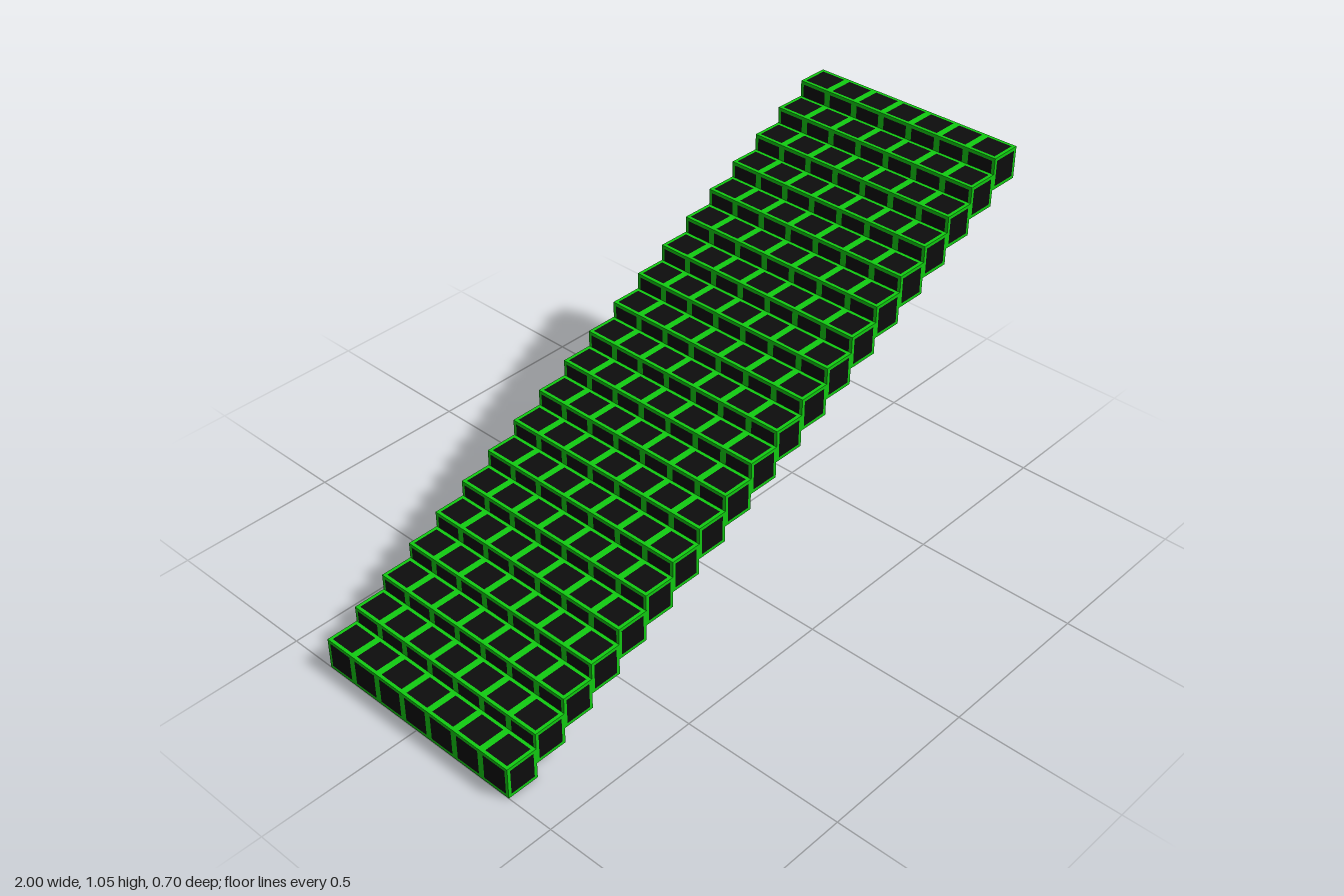
import * as THREE from 'three';
import { mergeGeometries } from 'three/addons/utils/BufferGeometryUtils.js';

const STEPS = 20, ROWS = 7, SIZE = 0.1, RISE = 0.05, EDGE = 0.01;
const H = SIZE / 2;

// Square centred on the origin, as a shape or as a hole
function square(target, h) {
  target.moveTo(-h, -h);
  target.lineTo(h, -h);
  target.lineTo(h, h);
  target.lineTo(-h, h);
  target.closePath();
  return target;
}

export function createModel() {
  const group = new THREE.Group();
  group.name = 'blockStaircase';

  const black = new THREE.MeshStandardMaterial({ color: 0x0d0d0d });
  black.name = 'black';
  const green = new THREE.MeshStandardMaterial({ color: 0x11cc11 });
  green.name = 'green';

  // One cube face: a dark panel inside a bright border
  const panel = new THREE.ShapeGeometry(square(new THREE.Shape(), H - EDGE));
  const borderShape = square(new THREE.Shape(), H);
  borderShape.holes.push(square(new THREE.Path(), H - EDGE));
  const border = new THREE.ShapeGeometry(borderShape);

  // Rotations that turn a +z face to each side of the cube
  const q = Math.PI / 2;
  const sides = {
    front: [0, 0], back: [0, 2 * q], left: [0, q], right: [0, -q], top: [-q, 0], bottom: [q, 0],
  };
  const placeFace = (face, side, x, y, z) => {
    const [rx, ry] = sides[side];
    return face.clone().translate(0, 0, H).rotateX(rx).rotateY(ry).translate(x, y, z);
  };

  // Each step is a row of cubes; faces between cubes of a row are left out
  for (let i = 0; i < STEPS; i++) {
    const x = -1 + H + i * SIZE, y = H + i * RISE;
    const panels = [], borders = [];
    for (let j = 0; j < ROWS; j++) {
      const z = (j - (ROWS - 1) / 2) * SIZE;
      for (const side of Object.keys(sides)) {
        if (side === 'front' && j < ROWS - 1) continue;
        if (side === 'back' && j > 0) continue;
        panels.push(placeFace(panel, side, x, y, z));
        borders.push(placeFace(border, side, x, y, z));
      }
    }
    const step = new THREE.Group();
    step.name = `step${i + 1}`;
    const panelMesh = new THREE.Mesh(mergeGeometries(panels), black);
    panelMesh.name = 'cubePanels';
    const borderMesh = new THREE.Mesh(mergeGeometries(borders), green);
    borderMesh.name = 'cubeEdges';
    step.add(panelMesh, borderMesh);
    group.add(step);
  }
  return group;
}
